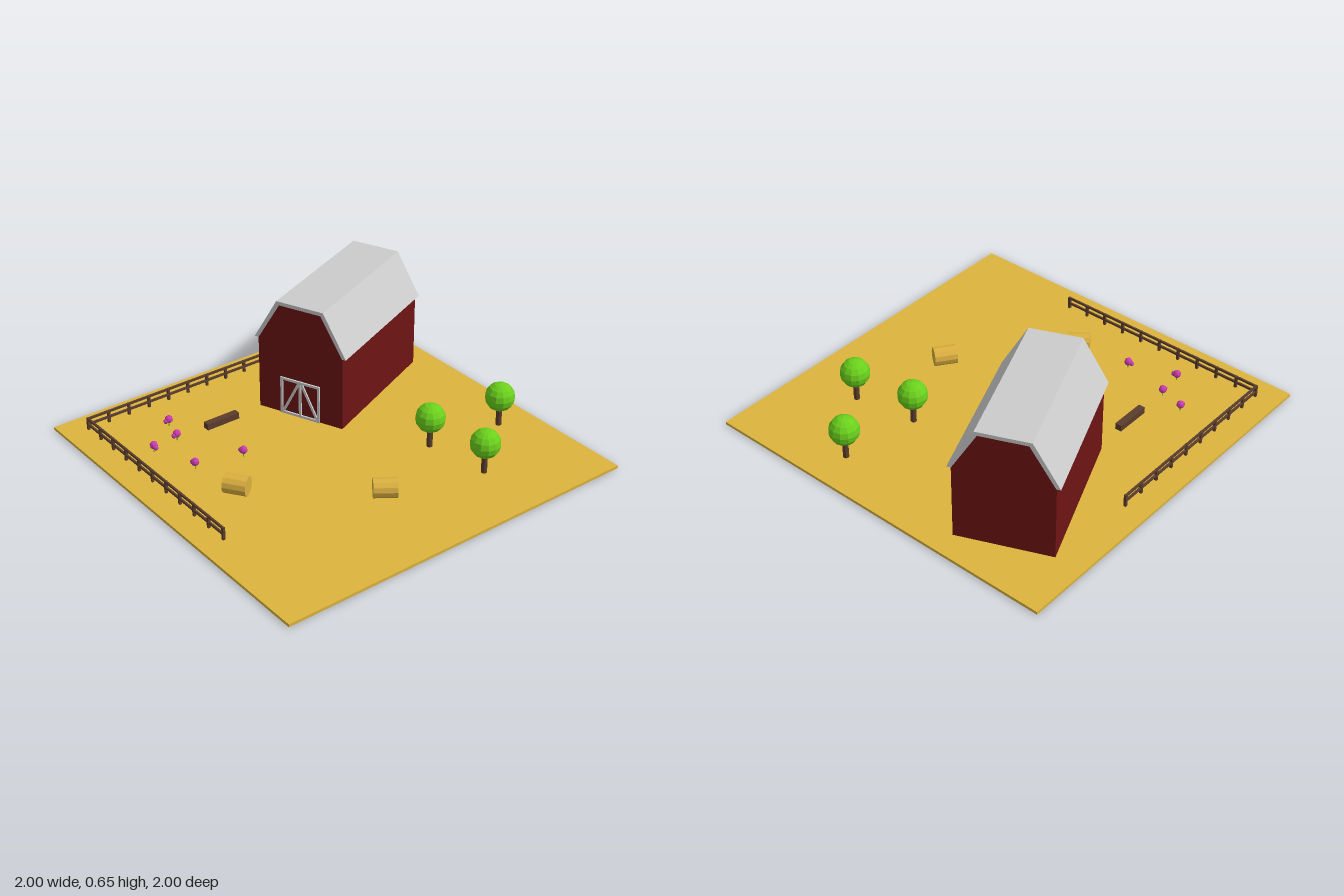
import * as THREE from 'three';

const mat = (color) => new THREE.MeshStandardMaterial({ color, flatShading: true });
const GROUND_Y = 0.015;

export function createModel() {
  const root = new THREE.Group();
  root.name = 'farm';
  const soil = mat(0xdcb43c), straw = mat(0xdcb040), red = mat(0x6e1414), grey = mat(0xcccccc);
  const wood = mat(0x5b3d2c), leaf = mat(0x6ad01c), petal = mat(0xc83cb0);

  const add = (parent, name, geometry, material, x = 0, y = 0, z = 0) => {
    const mesh = new THREE.Mesh(geometry, material);
    mesh.name = name;
    mesh.position.set(x, y, z);
    parent.add(mesh);
    return mesh;
  };
  const box = (parent, name, material, w, h, d, x, y, z) =>
    add(parent, name, new THREE.BoxGeometry(w, h, d), material, x, y, z);
  const group = (name, x, y, z, turn = 0) => {
    const g = new THREE.Group();
    g.name = name;
    g.position.set(x, y, z);
    g.rotation.y = turn;
    root.add(g);
    return g;
  };

  box(root, 'ground', soil, 2, GROUND_Y, 2, 0, GROUND_Y / 2, 0);

  // Barn: gambrel-shaped body and roof shell, both extruded along its length
  const barn = group('barn', -0.4675, 0, -0.415, 0.399);
  const extrude = (points, length) => {
    const shape = new THREE.Shape(points.map(([x, y]) => new THREE.Vector2(x, y)));
    return new THREE.ExtrudeGeometry(shape, { depth: length, bevelEnabled: false })
      .translate(0, 0, -length / 2);
  };
  add(barn, 'barnWalls', extrude([
    [-0.243, 0.01], [0.243, 0.01], [0.243, 0.42], [0.119, 0.632], [-0.119, 0.632], [-0.243, 0.42],
  ], 0.794), red);
  add(barn, 'barnRoof', extrude([
    [0.263, 0.42], [0.133, 0.65], [-0.133, 0.65], [-0.263, 0.42],
    [-0.241, 0.42], [-0.118, 0.63], [0.118, 0.63], [0.241, 0.42],
  ], 0.8), grey);

  // Barn door frame with a centre post and two braces
  const door = new THREE.Group();
  door.name = 'barnDoor';
  door.position.set(0, 0.12, 0.399);
  barn.add(door);
  const bar = 0.013;
  for (const x of [-0.108, 0, 0.108]) box(door, 'doorPost', grey, bar, 0.21, 0.014, x, 0, 0);
  for (const y of [-0.098, 0.098]) box(door, 'doorRail', grey, 0.228, bar, 0.014, 0, y, 0);
  for (const side of [-1, 1]) {
    const brace = box(door, 'doorBrace', grey, bar, 0.212, 0.012, side * 0.053, 0, 0);
    brace.rotation.z = side * Math.atan2(0.094, 0.19);
  }

  // Trees
  for (const [x, z] of [[0.36, -0.8], [0.64, -0.445], [0.3, -0.39]]) {
    const tree = group('tree', x, 0, z);
    add(tree, 'trunk', new THREE.CylinderGeometry(0.015, 0.015, 0.115, 8), wood, 0, 0.067, 0);
    add(tree, 'crown', new THREE.SphereGeometry(0.077, 12, 8), leaf, 0, 0.18, 0);
  }

  // Round hay bales lying on their sides
  for (const [x, z, turn] of [[0.052, 0.605, 0.61], [0.505, 0.065, 0.95]]) {
    const geometry = new THREE.CylinderGeometry(0.05, 0.05, 0.118, 12).rotateZ(Math.PI / 2);
    add(root, 'hayBale', geometry, straw, x, 0.063, z).rotation.y = turn;
  }

  // Flowers: one large and one small bloom on a short stem
  const flowers = [
    [-0.655, 0.53, 0, 0.018], [-0.515, 0.573, 0, 0.018], [-0.495, 0.722, 0.02, 0],
    [-0.243, 0.645, -0.018, 0.004], [-0.188, 0.397, -0.018, 0.004],
  ];
  for (const [x, z, dx, dz] of flowers) {
    const flower = group('flower', x, 0, z);
    add(flower, 'stem', new THREE.CylinderGeometry(0.003, 0.003, 0.035, 5), leaf, 0, 0.028, 0);
    add(flower, 'bloom', new THREE.SphereGeometry(0.021, 8, 6), petal, 0, 0.054, 0);
    add(flower, 'smallBloom', new THREE.SphereGeometry(0.013, 8, 6), petal, dx, 0.047, dz);
  }

  // Trough
  box(root, 'trough', wood, 0.036, 0.036, 0.192, -0.513, 0.031, 0.304);

  // Fence: two runs meeting at the front corner, each built along its local x
  const fence = (name, gaps, turn) => {
    const run = group(name, -0.875, 0, 0.87, turn);
    const step = 0.12, length = gaps * step, w = 0.013;
    for (let i = 0; i <= gaps; i++) {
      box(run, 'fencePost', wood, w, 0.07, w, i * step, 0.047, 0);
    }
    for (const y of [0.045, 0.077]) {
      box(run, 'fenceRail', wood, length + w, 0.011, 0.01, length / 2, y, 0);
    }
  };
  fence('frontFence', 10, 0);
  fence('sideFence', 9, Math.PI / 2);

  return root;
}
